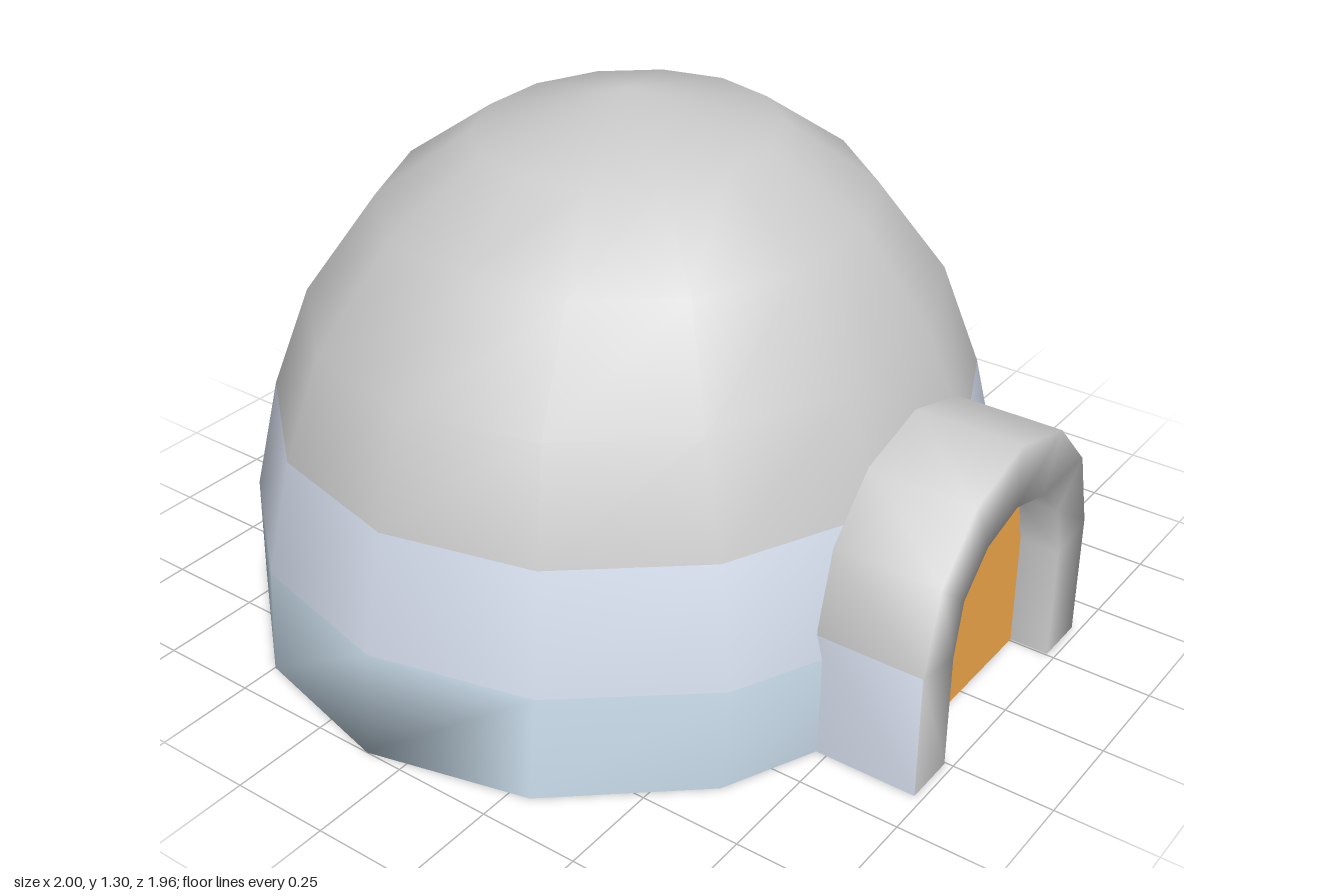
import * as THREE from 'three';

const SNOW = 0xf8f9fb, PALE = 0xd6deed, BLUE = 0xc8dbe9, ORANGE = 0xfaae4c;
const SIDES = 14, DOME_Z = -0.1;

function mesh(name, geometry, color) {
  const m = new THREE.Mesh(geometry, new THREE.MeshStandardMaterial({ color, side: THREE.DoubleSide }));
  m.name = name;
  return m;
}

// Smooth skin over rows of points, plus optional extra triangles tagged with a row number.
// The returned function cuts out the cells chosen by pick(row, column); normals always
// come from the whole skin so that pieces shade continuously.
function makeSkin(rows, closed, extraPoints = [], extraCells = []) {
  const n = rows[0].length;
  const cells = [...extraCells];
  rows.slice(1).forEach((_, r) => {
    for (let c = 0; c < (closed ? n : n - 1); c++) {
      const d = (c + 1) % n;
      cells.push({ r, c, tri: [r * n + c, r * n + d, (r + 1) * n + d, r * n + c, (r + 1) * n + d, (r + 1) * n + c] });
    }
  });
  const base = new THREE.BufferGeometry();
  base.setAttribute('position', new THREE.Float32BufferAttribute([...rows.flat(2), ...extraPoints], 3));
  base.setIndex(cells.flatMap((k) => k.tri));
  base.computeVertexNormals();
  return (pick) => {
    const g = base.clone();
    g.setIndex(cells.filter((k) => pick(k.r, k.c)).flatMap((k) => k.tri));
    return g;
  };
}

// Full symmetric outline from its +x half, running from +x over the top to -x
function mirrorOutline(half) {
  return [...half, ...half.slice(0, -1).reverse().map(([x, y]) => [-x, y])];
}

function createDome() {
  const group = new THREE.Group();
  group.name = 'dome';
  // Rings: height, half width, half depth, flattened back limit
  const rings = [
    [0, 1, 0.92, 0.88], [0.26, 0.975, 0.93, 0.87], [0.55, 0.91, 0.86, 0.83],
    [0.81, 0.82, 0.755, 0.74], [1.05, 0.62, 0.59, 0.575], [1.21, 0.39, 0.36, 0.35],
  ];
  const rows = rings.map(([y, rx, rz, back]) => Array.from({ length: SIDES }, (_, i) => {
    const a = (-i / SIDES) * Math.PI * 2;
    return [rx * Math.cos(a), y, DOME_Z + Math.max(rz * Math.sin(a), -back)];
  }));

  // Peak fan on the last ring
  const top = (rings.length - 1) * SIDES, apex = rings.length * SIDES;
  const extra = Array.from({ length: SIDES }, (_, i) => (
    { r: rings.length, c: i, tri: [top + i, top + (i + 1) % SIDES, apex] }));

  // Underside fan, open along one front edge
  for (let k = 11; k < SIDES + 6; k++) {
    extra.push({ r: -1, c: k, tri: [7, (k + 1) % SIDES, k % SIDES] });
  }

  const skin = makeSkin(rows, true, [0, 1.305, DOME_Z], extra);
  group.add(
    mesh('lowerSnowBand', skin((r) => r < 1), BLUE),
    mesh('middleSnowBand', skin((r) => r === 1), PALE),
    mesh('upperDome', skin((r) => r > 1), SNOW),
  );
  return group;
}

function createEntrance() {
  const group = new THREE.Group();
  group.name = 'entrance';
  const outer = mirrorOutline([[0.39, 0], [0.39, 0.32], [0.335, 0.52], [0.2, 0.66], [0, 0.715]]);
  const inner = mirrorOutline([[0.255, 0], [0.255, 0.295], [0.225, 0.43], [0.13, 0.52], [0, 0.555]]);
  const back = 0.71, front = 0.98, doorZ = 0.88;
  const at = (pts, z) => pts.map(([x, y]) => [x, y, z]);

  // Hollow arch: outer wall, front face, inner wall
  const skin = makeSkin([at(outer, back), at(outer, front), at(inner, front), at(inner, doorZ)], false);
  const last = outer.length - 2;
  const isLegSide = (r, c) => r === 0 && (c === 0 || c === last);
  group.add(
    mesh('arch', skin((r, c) => !isLegSide(r, c)), SNOW),
    mesh('archLegSides', skin(isLegSide), PALE),
  );

  // Thin recessed door
  const doorShape = new THREE.Shape(inner.map(([x, y]) => new THREE.Vector2(x, y)));
  const door = mesh('door', new THREE.ShapeGeometry(doorShape), ORANGE);
  door.position.z = doorZ;
  group.add(door);
  return group;
}

export function createModel() {
  const model = new THREE.Group();
  model.name = 'igloo';
  model.add(createDome(), createEntrance());
  return model;
}
